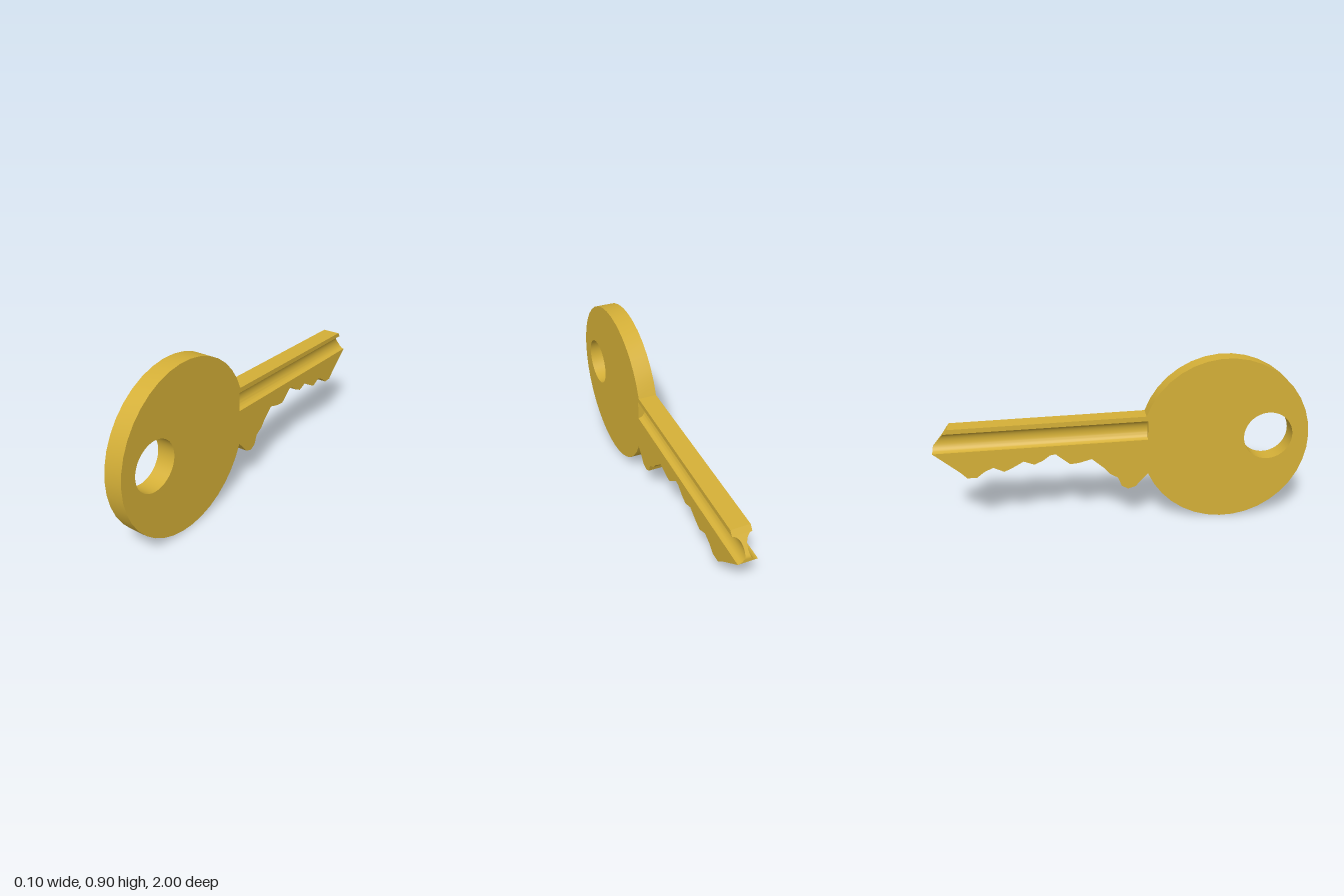
import * as THREE from 'three';
import { toCreasedNormals } from 'three/addons/utils/BufferGeometryUtils.js';

const HALF = 0.05; // half the thickness of the metal
const GROOVE = { z: 0.13, low: 0.47, high: 0.575, slope: 0.036, depth: 0.041 };

// Point [z, y] where a groove line starting at height y meets the slanted tip
function grooveEnd(y) {
  const yTip = y - GROOVE.slope * (1 + GROOVE.z);
  const d = Math.max(0, (0.81 * (yTip - 0.455)) / (1 - 0.81 * GROOVE.slope));
  return [-1 + d, yTip + GROOVE.slope * d];
}

// Flat plate: round bow, toothed blade, and a slot where the grooved web sits
function plateGeometry() {
  const teeth = [
    [-0.865, 0.32], [-0.83, 0.285], [-0.78, 0.285], [-0.735, 0.32], [-0.69, 0.34], [-0.635, 0.315],
    [-0.6, 0.33], [-0.53, 0.37], [-0.475, 0.35], [-0.43, 0.37], [-0.39, 0.4], [-0.36, 0.405],
    [-0.33, 0.38], [-0.285, 0.345], [-0.24, 0.35], [-0.17, 0.37], [-0.105, 0.315], [-0.075, 0.28],
    [-0.03, 0.255], [-0.01, 0.205], [0.025, 0.187], [0.065, 0.2], [0.095, 0.235], [0.125, 0.275],
  ];
  const bow = [];
  const from = 0.335, to = 2 * Math.PI - 0.405, steps = 34;
  for (let i = 0; i <= steps; i++) {
    const a = from + ((to - from) * i) / steps;
    bow.push([0.548 - 0.4525 * Math.cos(a), 0.4525 + 0.4525 * Math.sin(a)]);
  }
  const outline = [
    ...bow,
    ...teeth.reverse().slice(1),
    grooveEnd(GROOVE.low),
    [GROOVE.z, GROOVE.low],
    [GROOVE.z, GROOVE.high],
    grooveEnd(GROOVE.high),
    [-0.915, 0.562],
  ];
  const shape = new THREE.Shape(outline.map(([z, y]) => new THREE.Vector2(-z, y)));
  const hole = new THREE.Path().absarc(-0.78, 0.47, 0.132, 0, Math.PI * 2, true);
  shape.holes.push(hole);
  const geo = new THREE.ExtrudeGeometry(shape, { depth: HALF * 2, bevelEnabled: false, curveSegments: 32 });
  geo.translate(0, 0, -HALF).rotateY(Math.PI / 2);
  return toCreasedNormals(geo, 0.5);
}

// Thin web between the two round grooves, cut off along the tip
function webGeometry() {
  const n = 20, pos = [];
  const quad = (a, b, c, d) => pos.push(...a, ...b, ...c, ...a, ...c, ...d);
  const section = (i) => {
    const a = (Math.PI * i) / n;
    const x = HALF - GROOVE.depth * Math.sin(a);
    const y = THREE.MathUtils.lerp(GROOVE.low, GROOVE.high, (1 - Math.cos(a)) / 2);
    const [ez, ey] = grooveEnd(y);
    return {
      startL: [x, y, GROOVE.z], startR: [-x, y, GROOVE.z],
      endL: [x, ey, ez], endR: [-x, ey, ez],
    };
  };
  for (let i = 0; i < n; i++) {
    const p = section(i), q = section(i + 1);
    quad(p.endL, q.endL, q.startL, p.startL);
    quad(p.startR, q.startR, q.endR, p.endR);
    quad(p.endR, q.endR, q.endL, p.endL);
  }
  const geo = new THREE.BufferGeometry();
  geo.setAttribute('position', new THREE.Float32BufferAttribute(pos, 3));
  return toCreasedNormals(geo, 0.5);
}

export function createModel() {
  const brass = new THREE.MeshStandardMaterial({ color: 0xd4af37 });
  const key = new THREE.Group();
  key.name = 'key';
  const add = (name, geometry) => {
    const mesh = new THREE.Mesh(geometry, brass);
    mesh.name = name;
    key.add(mesh);
  };
  add('bowAndBlade', plateGeometry());
  add('groovedWeb', webGeometry());
  return key;
}
